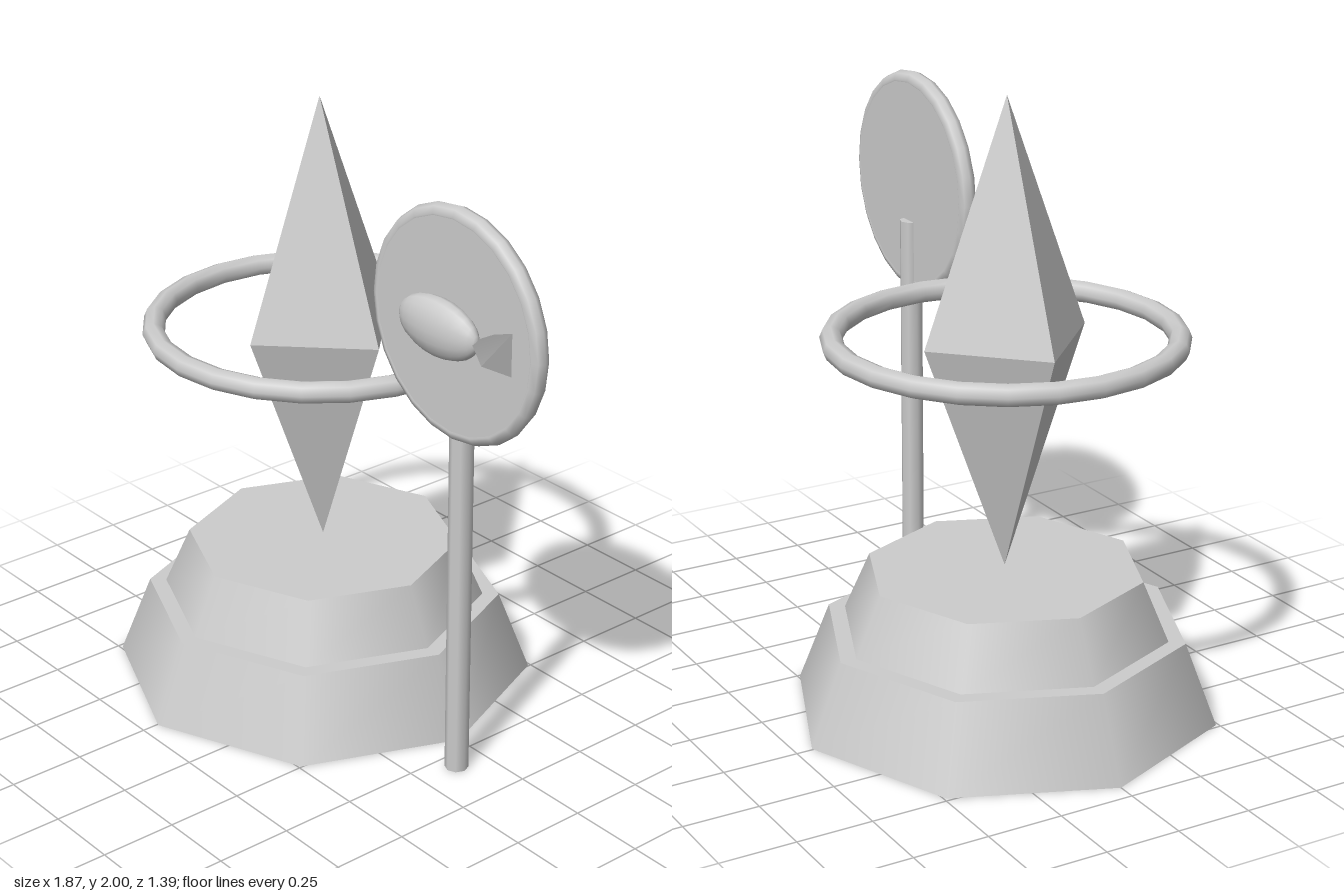
import * as THREE from 'three';

export function createModel() {
  const model = new THREE.Group();
  const grey = new THREE.MeshStandardMaterial({ color: 0xcccccc });
  grey.name = 'light grey';

  const add = (parent, name, geometry, x, y, z) => {
    const mesh = new THREE.Mesh(geometry, grey);
    mesh.name = name;
    mesh.position.set(x, y, z);
    parent.add(mesh);
    return mesh;
  };

  // Monument: two octagonal tiers, a floating crystal and its ring
  const monument = new THREE.Group();
  monument.name = 'monument';
  monument.position.x = -0.245;
  model.add(monument);
  add(monument, 'lowerTier', new THREE.CylinderGeometry(0.59, 0.695, 0.27, 8), 0, 0.135, 0);
  add(monument, 'upperTier', new THREE.CylinderGeometry(0.45, 0.535, 0.195, 8), 0, 0.3675, 0);
  add(monument, 'crystal', new THREE.OctahedronGeometry(1).scale(0.288, 0.762, 0.288), 0, 1.238, 0);
  add(monument, 'ring', new THREE.TorusGeometry(0.54, 0.036, 8, 24).rotateX(Math.PI / 2), 0, 1.237, 0);

  // Sign: post, round board with rim, and a fish on its front
  const sign = new THREE.Group();
  sign.name = 'sign';
  sign.position.x = 0.56;
  model.add(sign);
  add(sign, 'post', new THREE.CylinderGeometry(0.038, 0.038, 1.4, 8), 0, 0.7, 0.11);
  add(sign, 'board', new THREE.CylinderGeometry(0.345, 0.345, 0.056, 24).rotateX(Math.PI / 2), 0, 1.53, 0.129);
  add(sign, 'boardRim', new THREE.TorusGeometry(0.342, 0.03, 8, 24), 0, 1.53, 0.129);

  const fish = new THREE.Group();
  fish.name = 'fish';
  fish.position.set(-0.03, 1.528, 0.18);
  sign.add(fish);
  add(fish, 'fishBody', new THREE.SphereGeometry(1, 16, 12).rotateZ(Math.PI / 2).scale(0.17, 0.094, 0.053), 0, 0, 0);
  add(fish, 'fishTail', new THREE.ConeGeometry(0.095, 0.15, 3).rotateZ(Math.PI / 2), 0.215, 0, 0);

  return model;
}
